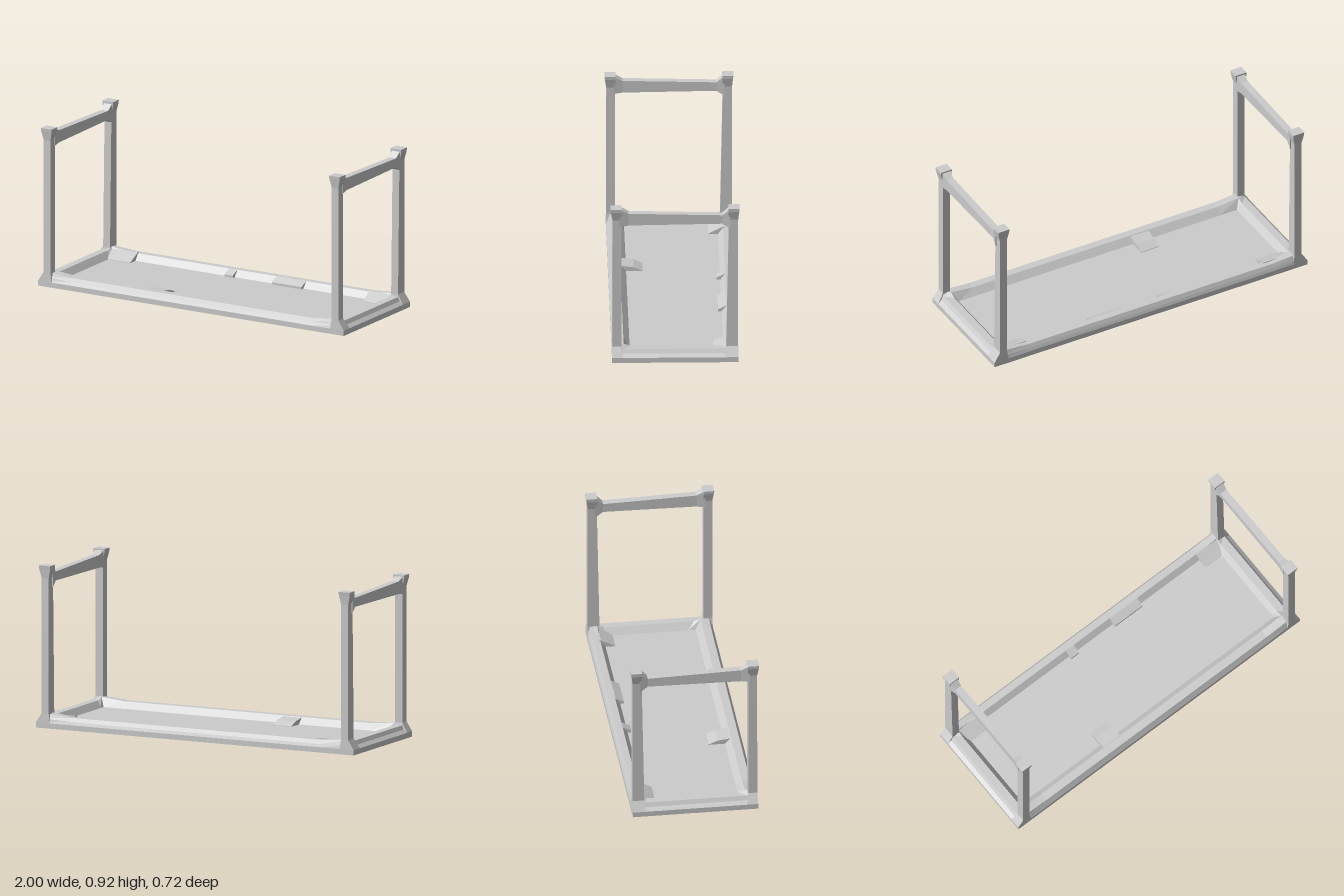
import * as THREE from 'three';

const material = new THREE.MeshStandardMaterial({ color: 0xcccccc, flatShading: true });

// Closed solid through loops of [x, y, z], counter-clockwise seen from the last loop's side
function loft(name, loops) {
  const n = loops[0].length, index = [];
  for (let k = 0; k + 1 < loops.length; k++) {
    for (let i = 0; i < n; i++) {
      const j = (i + 1) % n, a = k * n + i, b = k * n + j;
      index.push(a, b, b + n, a, b + n, a + n);
    }
  }
  const top = (loops.length - 1) * n;
  for (let i = 1; i + 1 < n; i++) index.push(0, i + 1, i, top, top + i, top + i + 1);
  const indexed = new THREE.BufferGeometry();
  indexed.setAttribute('position', new THREE.Float32BufferAttribute(loops.flat(2), 3));
  indexed.setIndex(index);
  const geometry = indexed.toNonIndexed();
  geometry.computeVertexNormals();
  const mesh = new THREE.Mesh(geometry, material);
  mesh.name = name;
  return mesh;
}

// Level rectangle; the two x and the two z values may come in any order
function level(y, xa, xb, za, zb) {
  const x0 = Math.min(xa, xb), x1 = Math.max(xa, xb), z0 = Math.min(za, zb), z1 = Math.max(za, zb);
  return [[x1, y, z1], [x1, y, z0], [x0, y, z0], [x0, y, z1]];
}

// Upright rectangle across the z direction
function upright(z, y0, y1, xa, xb) {
  const x0 = Math.min(xa, xb), x1 = Math.max(xa, xb);
  return [[x1, y0, z], [x1, y1, z], [x0, y1, z], [x0, y0, z]];
}

// Loop around the tray; lift raises its corners
function trayLoop(hx, front, back, y, lift = 0) {
  const k = 0.78, c = y + lift;
  return [
    [hx, c, front], [hx, y, front - 0.04], [hx, y, 0.04 - back], [hx, c, -back],
    [k, y, -back], [-k, y, -back],
    [-hx, c, -back], [-hx, y, 0.04 - back], [-hx, y, front - 0.04], [-hx, c, front],
    [-k, y, front], [k, y, front],
  ];
}

// Wedge with a constant [z, y] outline between two x values
function wedge(name, x0, x1, outline) {
  return loft(name, [x0, x1].map((x) => outline.map(([z, y]) => [x, y, z])));
}

export function createModel() {
  const model = new THREE.Group();
  model.name = 'overturnedTable';

  // Base tray with a bevelled rim
  model.add(loft('baseTray', [
    trayLoop(1, 0.352, 0.354, 0),
    trayLoop(1, 0.352, 0.354, 0.03),
    trayLoop(0.978, 0.343, 0.348, 0.047, 0.008),
    trayLoop(0.965, 0.332, 0.337, 0.069, 0.014),
    trayLoop(0.92, 0.286, 0.298, 0.069, 0.014),
    trayLoop(0.89, 0.252, 0.27, 0.032),
  ]));

  for (const s of [-1, 1]) {
    const frame = new THREE.Group();
    frame.name = s > 0 ? 'leftLegFrame' : 'rightLegFrame';

    // Legs with splayed feet and flared caps
    frame.add(loft('frontLeg', [
      level(0.01, s * 0.91, s, 0.29, 0.352),
      level(0.03, s * 0.91, s, 0.29, 0.352),
      level(0.084, s * 0.92, s * 0.965, 0.3, 0.351),
      level(0.85, s * 0.92, s * 0.965, 0.3, 0.35),
      level(0.9, s * 0.909, s * 0.977, 0.298, 0.358),
      level(0.918, s * 0.908, s * 0.978, 0.298, 0.36),
    ]));
    frame.add(loft('backLeg', [
      level(0.01, s * 0.91, s, -0.28, -0.354),
      level(0.03, s * 0.91, s, -0.28, -0.354),
      level(0.084, s * 0.92, s * 0.965, -0.285, -0.352),
      level(0.85, s * 0.92, s * 0.965, -0.3, -0.352),
      level(0.9, s * 0.909, s * 0.977, -0.298, -0.357),
      level(0.92, s * 0.908, s * 0.978, -0.298, -0.36),
    ]));

    // Cross rail, widening into the caps
    frame.add(loft('crossRail', [
      upright(-0.31, 0.795, 0.918, s * 0.915, s * 0.97),
      upright(-0.265, 0.825, 0.876, s * 0.921, s * 0.963),
      upright(0.26, 0.818, 0.889, s * 0.921, s * 0.963),
      upright(0.31, 0.812, 0.916, s * 0.915, s * 0.97),
    ]));

    // Sloped gusset in the back corner of the tray
    const inner = s > 0 ? 0.775 : -0.745;
    frame.add(wedge('cornerGusset', Math.min(inner, s * 0.92), Math.max(inner, s * 0.92),
      [[-0.215, 0.028], [-0.31, 0.028], [-0.31, 0.074], [-0.295, 0.074], [-0.215, 0.034]]));
    model.add(frame);
  }

  // Small wedges along the inside of the rim
  const backOutline = [[-0.25, 0.028], [-0.31, 0.028], [-0.31, 0.068], [-0.295, 0.068], [-0.25, 0.045]];
  model.add(wedge('smallBackWedge', -0.15, -0.095, backOutline));
  model.add(wedge('wideBackWedge', 0.16, 0.355, backOutline));
  model.add(wedge('frontWedge', -0.34, -0.225,
    [[0.29, 0.028], [0.16, 0.028], [0.16, 0.034], [0.21, 0.055], [0.29, 0.066]]));

  return model;
}
